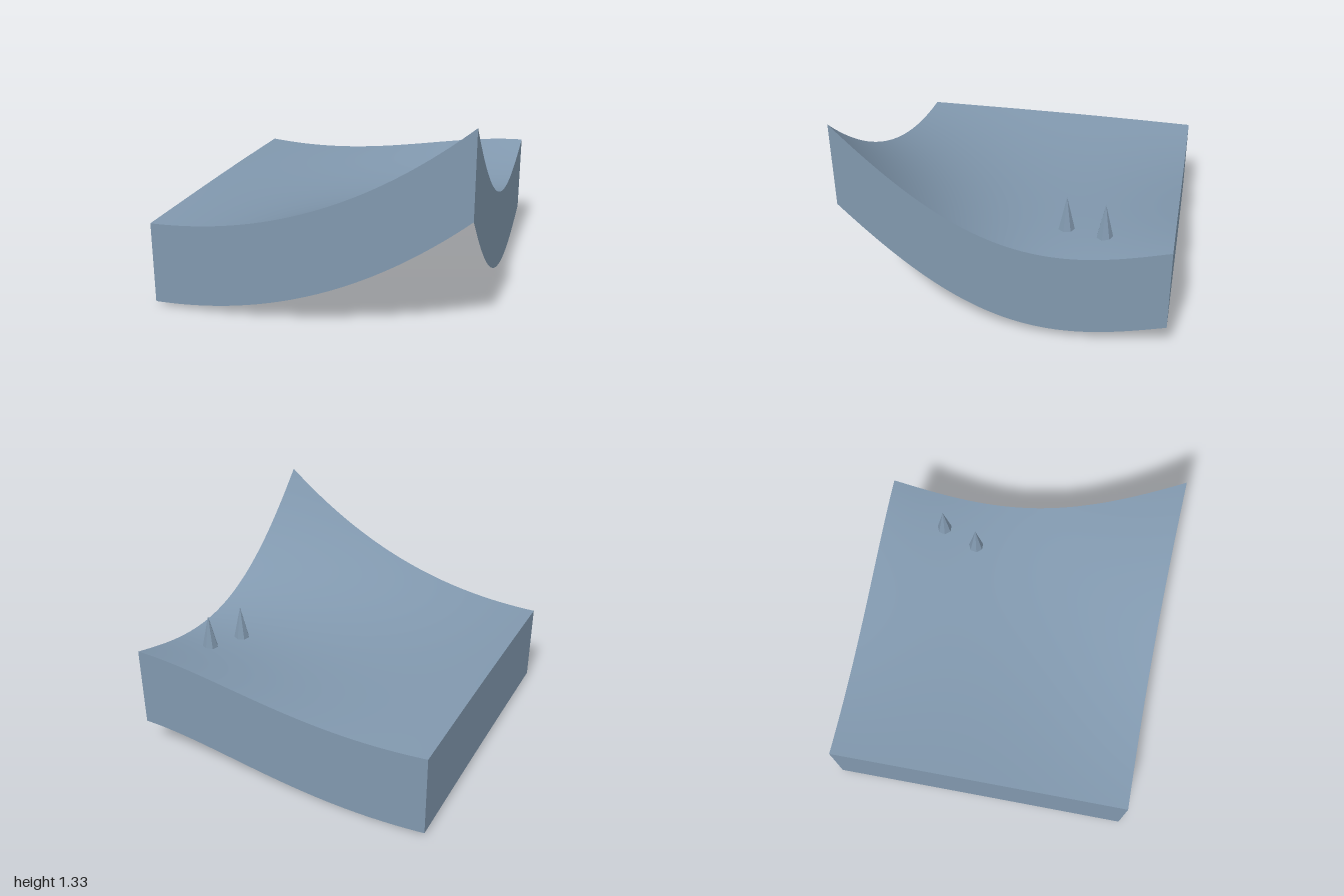
import * as THREE from 'three';

const slate = new THREE.MeshStandardMaterial({ color: 0x8198ae, side: THREE.DoubleSide });
slate.name = 'slate blue';

const SKIRT = 0.53;

// Quartic Bezier heights along the four edges of the sheet
const WEIGHTS = [1, 4, 6, 4, 1];
const bezier = (p) => (t) =>
  p.reduce((sum, h, i) => sum + WEIGHTS[i] * h * t ** i * (1 - t) ** (4 - i), 0);
const backEdge = bezier([0.547, 0.5, 0.529, 0.71, 0.715]);
const frontEdge = bezier([0.555, 0.559, 0.66, 0.9025, 1.33]);
const minusXEdge = bezier([0.547, 0.556, 0.562, 0.558, 0.555]);
const plusXEdge = bezier([0.715, 0.57, 0.436, 0.825, 1.33]);

// Blended patch between the edges, with a gentle lift in the middle
function height(x, z) {
  const u = (x + 1) / 2, v = (z + 1) / 2;
  const mix = THREE.MathUtils.lerp;
  const across = mix(minusXEdge(v), plusXEdge(v), u);
  const along = mix(backEdge(u), frontEdge(u), v);
  const corners = mix(mix(0.547, 0.715, u), mix(0.555, 1.33, u), v);
  return across + along - corners + 1.2 * u * v * (1 - u) * (1 - v);
}

// Curved top sheet
function makeSheet() {
  const geo = new THREE.PlaneGeometry(2, 2, 48, 48).rotateX(-Math.PI / 2);
  const pos = geo.attributes.position;
  for (let i = 0; i < pos.count; i++) pos.setY(i, height(pos.getX(i), pos.getZ(i)));
  geo.computeVertexNormals();
  return geo;
}

// Vertical wall of constant depth hanging under one edge; open at the bottom
function makeSkirt(angle) {
  const geo = new THREE.PlaneGeometry(2, 1, 48, 1).translate(0, 0, 1).rotateY(angle);
  const pos = geo.attributes.position;
  for (let i = 0; i < pos.count; i++) {
    const top = height(pos.getX(i), pos.getZ(i));
    pos.setY(i, pos.getY(i) > 0 ? top : top - SKIRT);
  }
  return geo;
}

// Faceted seven-sided spike standing on the sheet
function makeSpike() {
  const geo = new THREE.ConeGeometry(0.052, 0.225, 7)
    .rotateY(Math.PI).translate(0, 0.1125, 0).toNonIndexed();
  geo.computeVertexNormals();
  return geo;
}

export function createModel() {
  const model = new THREE.Group();
  model.name = 'curvedTerrain';
  const add = (name, geo) => {
    const mesh = new THREE.Mesh(geo, slate);
    mesh.name = name;
    model.add(mesh);
    return mesh;
  };

  add('topSheet', makeSheet());
  ['frontSkirt', 'leftSkirt', 'backSkirt', 'rightSkirt'].forEach((name, i) =>
    add(name, makeSkirt((i * Math.PI) / 2)));

  [[0.66, -0.335], [0.745, -0.582]].forEach(([x, z], i) =>
    add(`spike${i + 1}`, makeSpike()).position.set(x, height(x, z), z));

  return model;
}
